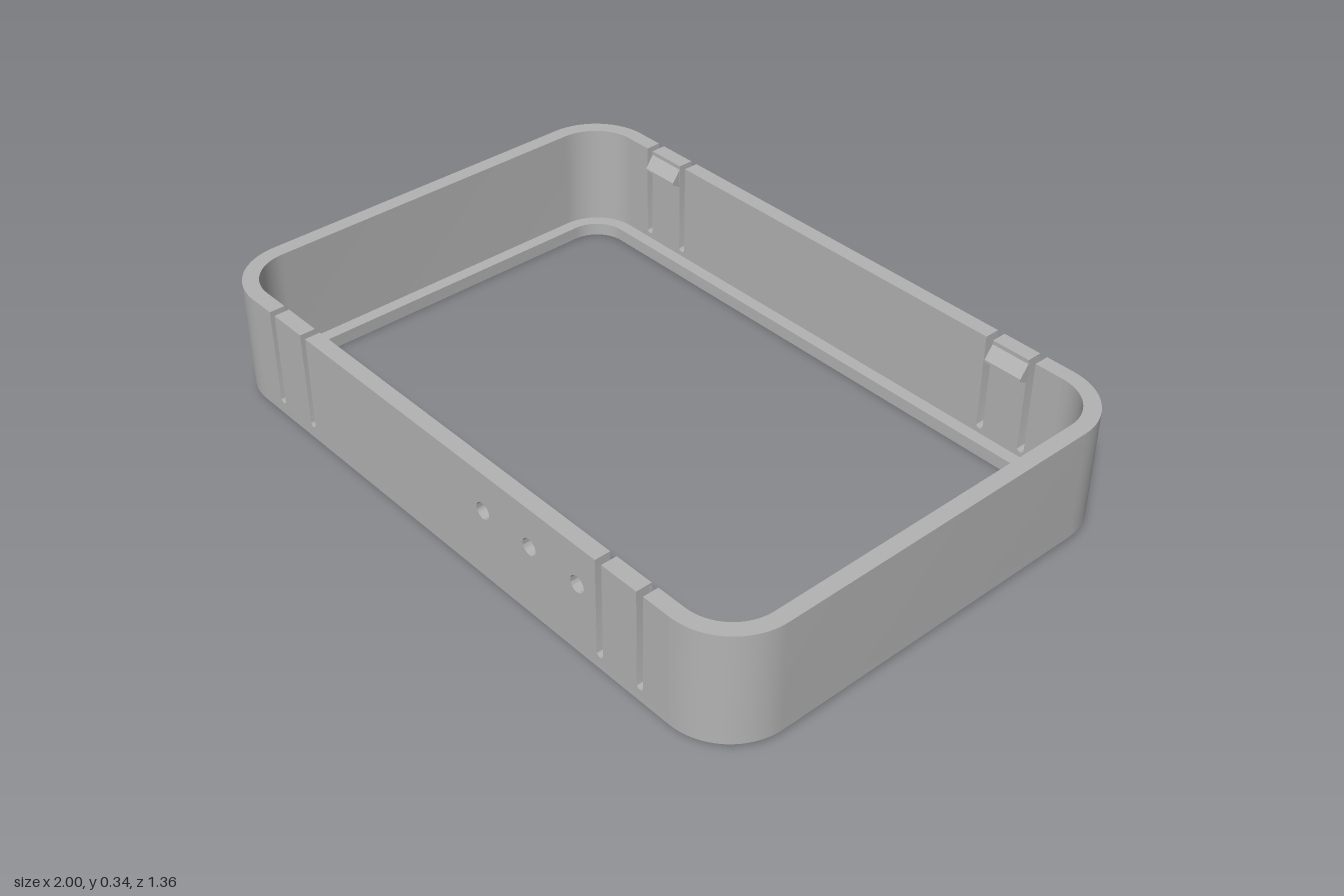
import * as THREE from 'three';
import { toCreasedNormals } from 'three/addons/utils/BufferGeometryUtils.js';

const W = 1, D = 0.678, R = 0.18, H = 0.34;   // half width, half depth, corner radius, height
const T = 0.045, LIP = 0.083, LEDGE = 0.038;  // wall thickness, ledge reach, ledge height
const CX = W - R, CZ = D - R;
const SLOTS = [0.723, 0.584, -0.584, -0.726], SLOT_R = 0.011;

const CORNERS = [[CX, -CZ, -0.5], [CX, CZ, 0], [-CX, CZ, 0.5], [-CX, -CZ, 1]];

// Sweeps a profile of [inset, y] points around the given rounded corners
function sweep(profile, corners, closed) {
  const path = [];
  for (const [x, z, start] of corners) {
    for (let i = 0; i <= 16; i++) path.push([x, z, (start + i / 32) * Math.PI]);
  }
  if (closed) path.push(path[0]);
  const pos = [], index = [], n = profile.length;
  for (const [x, z, a] of path) {
    for (const [inset, y] of profile) {
      pos.push(x + (R - inset) * Math.cos(a), y, z + (R - inset) * Math.sin(a));
    }
  }
  for (let i = 0; i < path.length - 1; i++) {
    for (let j = 0; j < n - 1; j++) {
      const a = i * n + j, b = a + n;
      index.push(a, a + 1, b, a + 1, b + 1, b);
    }
  }
  const geo = new THREE.BufferGeometry();
  geo.setAttribute('position', new THREE.Float32BufferAttribute(pos, 3));
  geo.setIndex(index);
  return toCreasedNormals(geo, 0.5);
}

// Straight long wall with flexure slots and optional round holes
function slottedWall(holes) {
  const s = new THREE.Shape();
  s.moveTo(-CX, LEDGE);
  s.lineTo(CX, LEDGE);
  s.lineTo(CX, H);
  for (const x of SLOTS) {
    s.lineTo(x + SLOT_R, H);
    s.lineTo(x + SLOT_R, 0.064);
    s.absarc(x, 0.064, SLOT_R, 0, Math.PI, true);
    s.lineTo(x - SLOT_R, H);
  }
  s.lineTo(-CX, H);
  s.closePath();
  for (const x of holes) {
    const hole = new THREE.Path();
    hole.absarc(x, 0.225, 0.024, 0, Math.PI * 2, true);
    s.holes.push(hole);
  }
  const geo = new THREE.ExtrudeGeometry(s, { depth: T, bevelEnabled: false, curveSegments: 16 });
  return toCreasedNormals(geo, 0.6);
}

// Wedge-shaped snap hook, reaching towards +z
function hookGeometry() {
  const s = new THREE.Shape([[-0.005, 0.27], [0, 0.27], [0.026, 0.285], [0.026, 0.292], [0, 0.328], [-0.005, 0.328]]
    .map(([x, y]) => new THREE.Vector2(x, y)));
  const width = 0.118;
  const geo = new THREE.ExtrudeGeometry(s, { depth: width, bevelEnabled: false });
  return geo.translate(0, 0, -width / 2).rotateY(-Math.PI / 2);
}

export function createModel() {
  const model = new THREE.Group();
  model.name = 'snapFrame';
  const grey = new THREE.MeshStandardMaterial({ color: 0xb3b3b3 });
  grey.name = 'grey plastic';
  const add = (name, geo, x = 0, z = 0) => {
    const mesh = new THREE.Mesh(geo, grey);
    mesh.name = name;
    mesh.position.set(x, 0, z);
    model.add(mesh);
    return mesh;
  };

  // Chamfered bottom ring with inner ledge
  add('baseRing', sweep([[T, LEDGE], [LIP, LEDGE], [LIP, 0], [0.018, 0], [0, 0.018], [0, LEDGE]], CORNERS, true));

  // Short side walls with their rounded corners
  const wall = [[0, LEDGE], [0, H], [T, H], [T, LEDGE]];
  add('leftSideWall', sweep(wall, CORNERS.slice(0, 2), false));
  add('rightSideWall', sweep(wall, CORNERS.slice(2), false));

  // Long walls
  add('frontWall', slottedWall([0.16, 0.335, 0.508]), 0, D - T);
  add('backWall', slottedWall([]), 0, -D);

  // Snap hooks on the inner face of each tongue
  const hook = hookGeometry();
  for (const x of [-0.655, 0.654]) {
    add('backHook', hook, x, -D + T);
    add('frontHook', hook, x, D - T).rotation.y = Math.PI;
  }
  return model;
}
